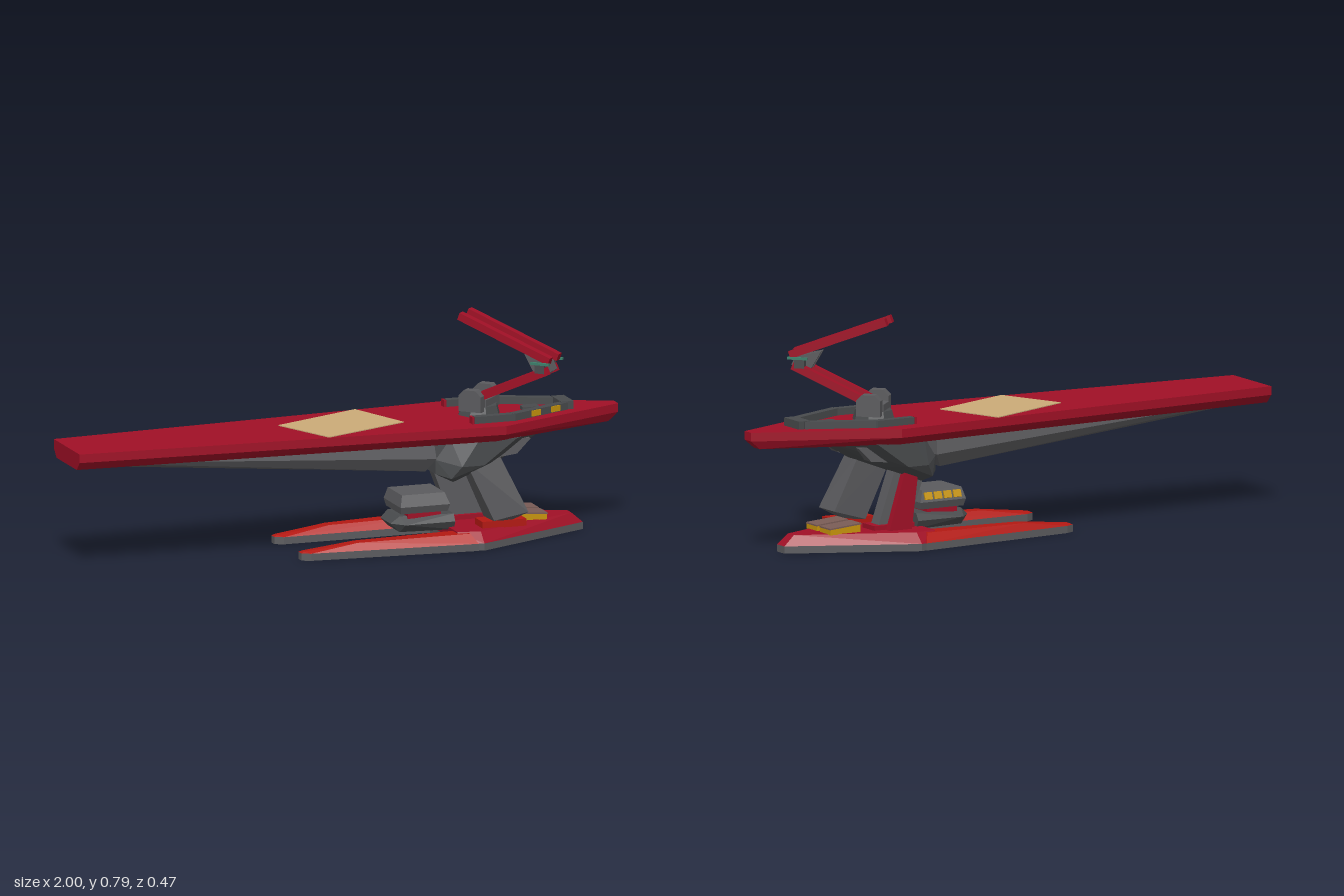
import * as THREE from 'three';
import { ConvexGeometry } from 'three/addons/geometries/ConvexGeometry.js';

const paint = (name, color) => {
  const m = new THREE.MeshStandardMaterial({ color });
  m.name = name;
  return m;
};

export function createModel() {
  const crimson = paint('crimson', 0xa01026);
  const scarlet = paint('scarlet', 0xb31812);
  const grey = paint('grey', 0x5b5b5e);
  const darkGrey = paint('dark grey', 0x494b4d);
  const tan = paint('tan', 0xcbab78);
  const yellow = paint('yellow', 0xc8950c);
  const brown = paint('brown', 0x7a5c56);
  const teal = paint('teal', 0x3c7f6a);

  const model = new THREE.Group();
  model.name = 'hoverPlatform';
  const V = (p) => new THREE.Vector3(...p);

  function add(name, geometry, material, parent = model) {
    const mesh = new THREE.Mesh(geometry, material);
    mesh.name = name;
    parent.add(mesh);
    return mesh;
  }
  // convex solid around a set of corner points
  const hull = (name, points, material, parent) => add(name, new ConvexGeometry(points.map(V)), material, parent);
  // box from size and centre
  function box(name, size, centre, material, parent) {
    const mesh = add(name, new THREE.BoxGeometry(...size), material, parent);
    mesh.position.set(...centre);
    return mesh;
  }
  // square bar from a to b
  function bar(name, a, b, w, h, material, parent = model) {
    const A = V(a), B = V(b);
    const mesh = new THREE.Mesh(new THREE.BoxGeometry(w, h, A.distanceTo(B)), material);
    mesh.name = name;
    mesh.position.copy(A).lerp(B, 0.5);
    mesh.lookAt(B);
    parent.add(mesh);
    return mesh;
  }
  const Z0 = -0.008; // centre line
  // mirrored plan outline at height y: half = [[x, halfWidth], ...]
  const ring = (half, y, s = 1, dx = 0) =>
    half.flatMap(([x, w]) => [[x + dx, y, Z0 + w * s], [x + dx, y, Z0 - w * s]]);

  // --- deck
  const deck = [[-1, 0.128], [0.52, 0.221], [1, 0.022]];
  const deckLow = [[-1, 0.1], [0.5, 0.18], [0.965, 0.02]];
  hull('deck', [...ring(deck, 0.43), ...ring(deck, 0.4), ...ring(deckLow, 0.37)], crimson);
  const patch = new THREE.Shape([[-0.21, 0.06], [0.12, 0.2], [0.21, -0.04], [-0.11, -0.17]].map(p => new THREE.Vector2(...p)));
  const patchMesh = add('deckPatch', new THREE.ExtrudeGeometry(patch, { depth: 0.003, bevelEnabled: false }), tan);
  patchMesh.rotation.x = -Math.PI / 2;
  patchMesh.position.y = 0.43;

  // --- long keel beam under the deck
  hull('keelBeam', [
    ...ring([[-0.99, 0.05], [0.3, 0.085]], 0.4),
    ...ring([[-0.99, 0.06]], 0.385), ...ring([[-0.99, 0.04]], 0.371),
    ...ring([[0.31, 0.1]], 0.305), ...ring([[0.28, 0.07]], 0.258),
  ], grey);

  // --- hub that carries the deck
  hull('hub', [
    ...ring([[0.36, 0.1], [0.44, 0.165], [0.58, 0.165], [0.7, 0.08]], 0.372),
    ...ring([[0.38, 0.165], [0.46, 0.165]], 0.285),
    ...ring([[0.31, 0.09]], 0.3), ...ring([[0.31, 0.09]], 0.25),
    ...ring([[0.35, 0.14]], 0.24), ...ring([[0.37, 0.1]], 0.22),
    ...ring([[0.54, 0.1]], 0.285),
  ], darkGrey);
  for (const s of [1, -1]) {
    hull('hubBracket', [0.085, 0.135].flatMap((w) =>
      [[0.5, 0.3], [0.59, 0.31], [0.64, 0.36], [0.5, 0.37]].map(([x, y]) => [x, y, Z0 + s * w])), grey);
  }

  // --- legs
  hull('frontLeg', [
    [0.5, 0.085, 0.145], [0.5, 0.075, 0.05], [0.62, 0.11, 0.16], [0.62, 0.11, 0.055],
    [0.57, 0.08, 0.13], [0.57, 0.08, 0.065],
    [0.4, 0.3, 0.13], [0.4, 0.32, 0.02], [0.53, 0.3, 0.13], [0.53, 0.32, 0.03],
  ], grey);
  hull('rearLeg', [-0.03, -0.08].flatMap((z) =>
    [[0.41, 0.06], [0.53, 0.06], [0.45, 0.29], [0.33, 0.27]].map(([x, y]) => [x, y, z])), grey);
  hull('redStrut', [-0.1, -0.125].flatMap((z) =>
    [[0.42, 0.05], [0.51, 0.05], [0.44, 0.28], [0.39, 0.28]].map(([x, y]) => [x, y, z])), crimson);
  box('frontFoot', [0.16, 0.025, 0.075], [0.54, 0.07, 0.1], scarlet);
  box('rearFoot', [0.16, 0.02, 0.08], [0.47, 0.066, -0.055], crimson);

  // --- base
  const base = [[0.36, 0.2], [0.44, 0.221], [0.87, 0.025]];
  const baseTop = [[0.36, 0.17], [0.44, 0.185], [0.83, 0.02]];
  hull('baseSkirt', [...ring(base, 0), ...ring(base, 0.025)], grey);
  hull('baseTop', [...ring(base, 0.025), ...ring(baseTop, 0.06)], crimson);
  for (const s of [1, -1]) {
    const at = ([x, y, w]) => [x, y, Z0 + s * w];
    const plan = [[0.42, 0.219], [0.42, 0.1], [0.3, 0.115], [-0.17, 0.105], [-0.2, 0.12], [-0.2, 0.15], [-0.17, 0.165]];
    hull('prongSkirt', [0, 0.025].flatMap((y) => plan.map(([x, w]) => at([x, y, w]))), grey);
    hull('prongTop', [
      ...plan.map(([x, w]) => at([x, 0.025, w])),
      ...[[0.4, 0.056, 0.19], [0.4, 0.056, 0.125], [0, 0.05, 0.165], [0, 0.05, 0.125],
        [-0.19, 0.03, 0.145], [-0.19, 0.03, 0.125]].map(at),
    ], scarlet);
    // lamps on the nose
    const lampZ = Z0 + s * 0.045;
    hull('lampHousing', [-0.035, 0.035].flatMap((w) =>
      [[0.6, 0.058], [0.72, 0.058], [0.72, 0.076], [0.6, 0.086]].map(([x, y]) => [x, y, lampZ + w])), yellow);
    hull('lampCover', [-0.036, 0.036].flatMap((w) =>
      [[0.598, 0.086], [0.722, 0.076], [0.722, 0.081], [0.598, 0.091]].map(([x, y]) => [x, y, lampZ + w])), brown);
  }

  // --- engine pod behind the legs
  hull('podHull', [
    ...ring([[0.19, 0.06], [0.38, 0.08]], 0.05),
    ...ring([[0.16, 0.05], [0.2, 0.095], [0.38, 0.095]], 0.08),
    ...ring([[0.19, 0.06], [0.38, 0.08]], 0.105),
  ], darkGrey);
  box('podBand', [0.12, 0.025, 0.15], [0.275, 0.11, Z0], crimson);
  hull('podCabin', [
    ...ring([[0.19, 0.075], [0.36, 0.075]], 0.115),
    ...ring([[0.185, 0.085], [0.365, 0.085]], 0.14),
    ...ring([[0.195, 0.07], [0.35, 0.07]], 0.18),
  ], grey);
  for (let i = 0; i < 4; i++) {
    const lamp = box('podLamp', [0.03, 0.026, 0.008], [0.218 + i * 0.038, 0.16, Z0 - 0.079], yellow);
    lamp.rotation.x = 0.36;
  }

  // --- raised rail around the deck nose
  for (const s of [1, -1]) {
    const z = (w) => Z0 + s * w;
    bar('railSide', [0.43, 0.44, z(0.14)], [0.58, 0.44, z(0.14)], 0.028, 0.028, darkGrey);
    box('railEnd', [0.008, 0.024, 0.03], [0.424, 0.442, z(0.14)], crimson);
    bar('railDiagonal', [0.57, 0.44, z(0.142)], [0.8, 0.44, z(0.04)], 0.028, 0.03, darkGrey);
  }
  box('railNose', [0.045, 0.028, 0.1], [0.805, 0.444, Z0], darkGrey);
  for (const x of [0.66, 0.745]) {
    const z = Z0 + 0.142 - (x - 0.57) * (0.102 / 0.23);
    bar('railLamp', [x - 0.012, 0.443, z + 0.021], [x + 0.024, 0.443, z + 0.005], 0.008, 0.02, yellow);
  }
  hull('deckHatch', [0.43, 0.442].flatMap((y) => ring([[0.655, 0.012], [0.67, 0.022], [0.715, 0.022]], y)), darkGrey);

  // --- turret with folded twin arms
  const turret = new THREE.Group();
  turret.name = 'turret';
  turret.position.set(0.5, 0, -0.005);
  turret.rotation.y = -Math.PI / 4;
  model.add(turret);
  const drum = add('turretDrum', new THREE.CylinderGeometry(0.065, 0.075, 0.035, 8).toNonIndexed(), darkGrey, turret);
  drum.geometry.computeVertexNormals();
  drum.position.y = 0.447;
  box('turretBody', [0.09, 0.04, 0.08], [0, 0.468, 0], grey, turret);
  const along = [0.28, 0.195];
  for (const s of [1, -1]) {
    hull('turretCheek', [0.043, 0.077].flatMap((w) =>
      [[-0.042, 0.45], [0.042, 0.45], [0.042, 0.505], [0.022, 0.525], [-0.022, 0.525], [-0.042, 0.505]]
        .map(([x, y]) => [x, y, s * w])), grey, turret);
    // twin bars, one pair per arm
    const z = s * 0.036;
    bar('lowerArm', [0, 0.488, z], [0.275, 0.612, z], 0.027, 0.028, crimson, turret);
    bar('upperArm', [0.285, 0.647, z], [-0.055, 0.775, z], 0.027, 0.026, crimson, turret);
    box('elbowLight', [0.07, 0.008, 0.012], [0.255, 0.638, s * 0.055], teal, turret);
    hull('elbowPlate', [0.008, 0.022].flatMap((w) =>
      [[0.215, 0.6], [0.25, 0.585], [0.285, 0.61], [0.27, 0.64], [0.18, 0.66]].map(([x, y]) => [x, y, s * w])), grey, turret);
  }
  box('elbowAxle', [0.035, 0.035, 0.1], [0.25, 0.62, 0], darkGrey, turret);

  return model;
}
